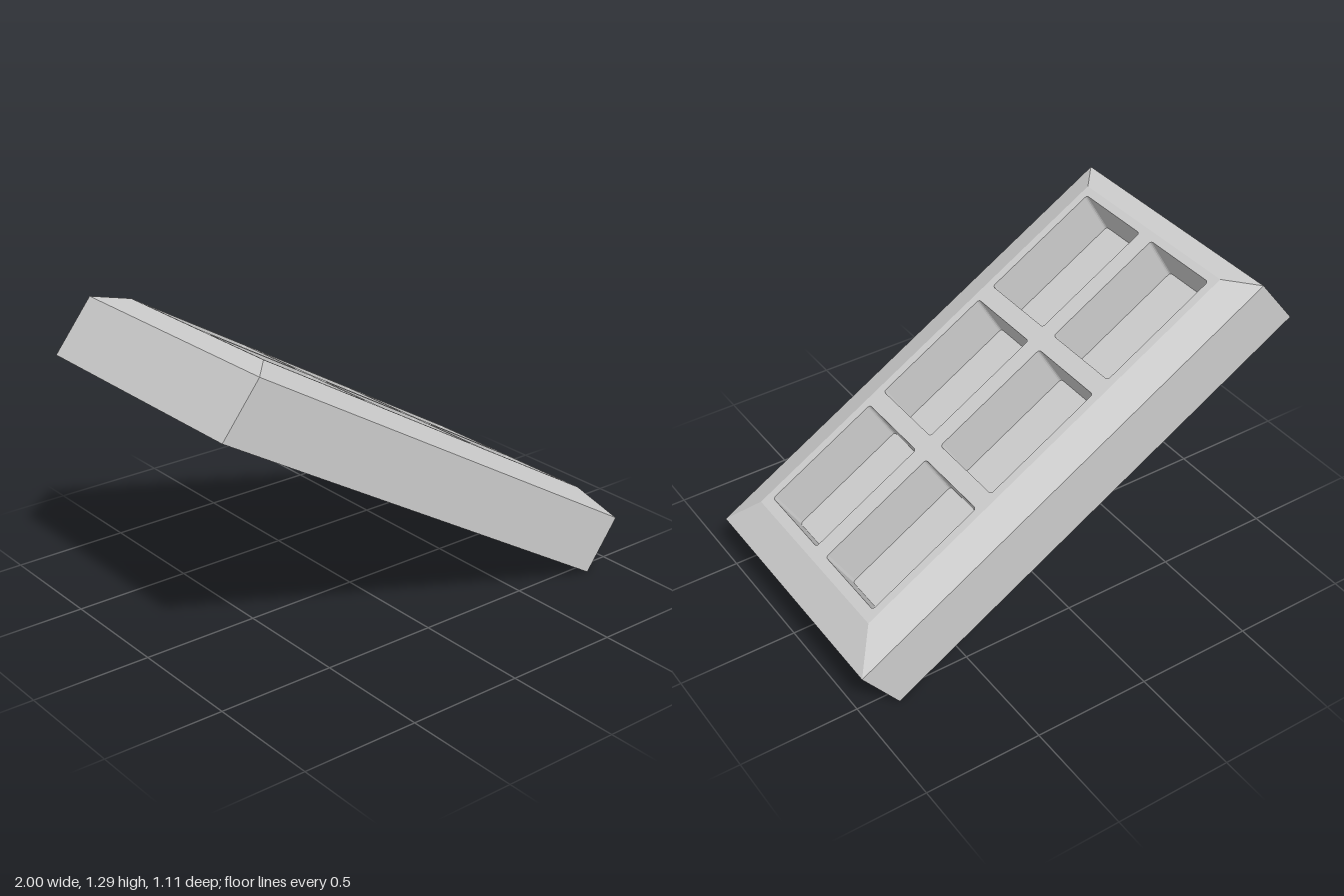
import * as THREE from 'three';

const material = new THREE.MeshStandardMaterial({ color: 0xcccccc, flatShading: true });

// Counter-clockwise rectangle outline, with optional rounded corners
function rect(x0, x1, y0, y1, r = 0) {
  const corners = [[x1 - r, y0 + r, -1], [x1 - r, y1 - r, 0], [x0 + r, y1 - r, 1], [x0 + r, y0 + r, 2]];
  const steps = r ? 3 : 0;
  const points = [];
  for (const [x, y, quarter] of corners) {
    for (let i = 0; i <= steps; i++) {
      const a = (quarter + (steps ? i / steps : 0)) * Math.PI / 2;
      points.push(new THREE.Vector2(x + r * Math.cos(a), y + r * Math.sin(a)));
    }
  }
  return points;
}

// Band of faces between two outlines at two heights
function band(a, heightA, b, heightB) {
  const positions = [];
  const put = (p, h) => positions.push(p.x, h, -p.y);
  a.forEach((p, i) => {
    const j = (i + 1) % a.length;
    put(p, heightA); put(a[j], heightA); put(b[j], heightB);
    put(p, heightA); put(b[j], heightB); put(b[i], heightB);
  });
  const geometry = new THREE.BufferGeometry();
  geometry.setAttribute('position', new THREE.Float32BufferAttribute(positions, 3));
  geometry.computeVertexNormals();
  return geometry;
}

// Flat face at a height, optionally pierced by holes
function plate(outline, height, holes = []) {
  const shape = new THREE.Shape(outline);
  shape.holes = holes.map((h) => new THREE.Path(h));
  return new THREE.ShapeGeometry(shape).rotateX(-Math.PI / 2).translate(0, height, 0);
}

export function createModel() {
  const model = new THREE.Group();
  model.name = 'slopedTray';
  const slab = new THREE.Group();
  slab.name = 'slab';
  slab.position.set(0.08, 0.815, 0);
  slab.rotation.z = THREE.MathUtils.degToRad(-30.45);
  model.add(slab);

  const add = (name, geometry, parent = slab) => {
    const mesh = new THREE.Mesh(geometry, material);
    mesh.name = name;
    parent.add(mesh);
  };

  // Skewed body: base, side walls and bevelled rim
  const base = rect(-1.07, 1.07, -0.557, 0.557);
  const shoulder = rect(-1.034, 1.1, -0.557, 0.557);
  const top = rect(-0.94, 0.94, -0.43, 0.43);
  add('sideWalls', band(base, -0.314, shoulder, -0.056));
  add('bevel', band(shoulder, -0.056, top, 0));
  add('base', plate(base, 0).rotateX(Math.PI).translate(0, -0.314, 0));

  // Two rows of three pockets
  const depth = -0.22;
  const rims = [];
  for (let col = 0; col < 3; col++) {
    for (const y of [-0.395, 0.038]) {
      const x = -0.905 + col * 0.626;
      const rim = rect(x, x + 0.546, y, y + 0.357, 0.012);
      const pocket = new THREE.Group();
      pocket.name = 'pocket';
      add('pocketWalls', band(rim, 0, rim, depth), pocket);
      add('pocketFloor', plate(rim, depth), pocket);
      slab.add(pocket);
      rims.push(rim);
    }
  }

  // Top face pierced by the pockets
  add('topFace', plate(top, 0, rims));
  return model;
}
